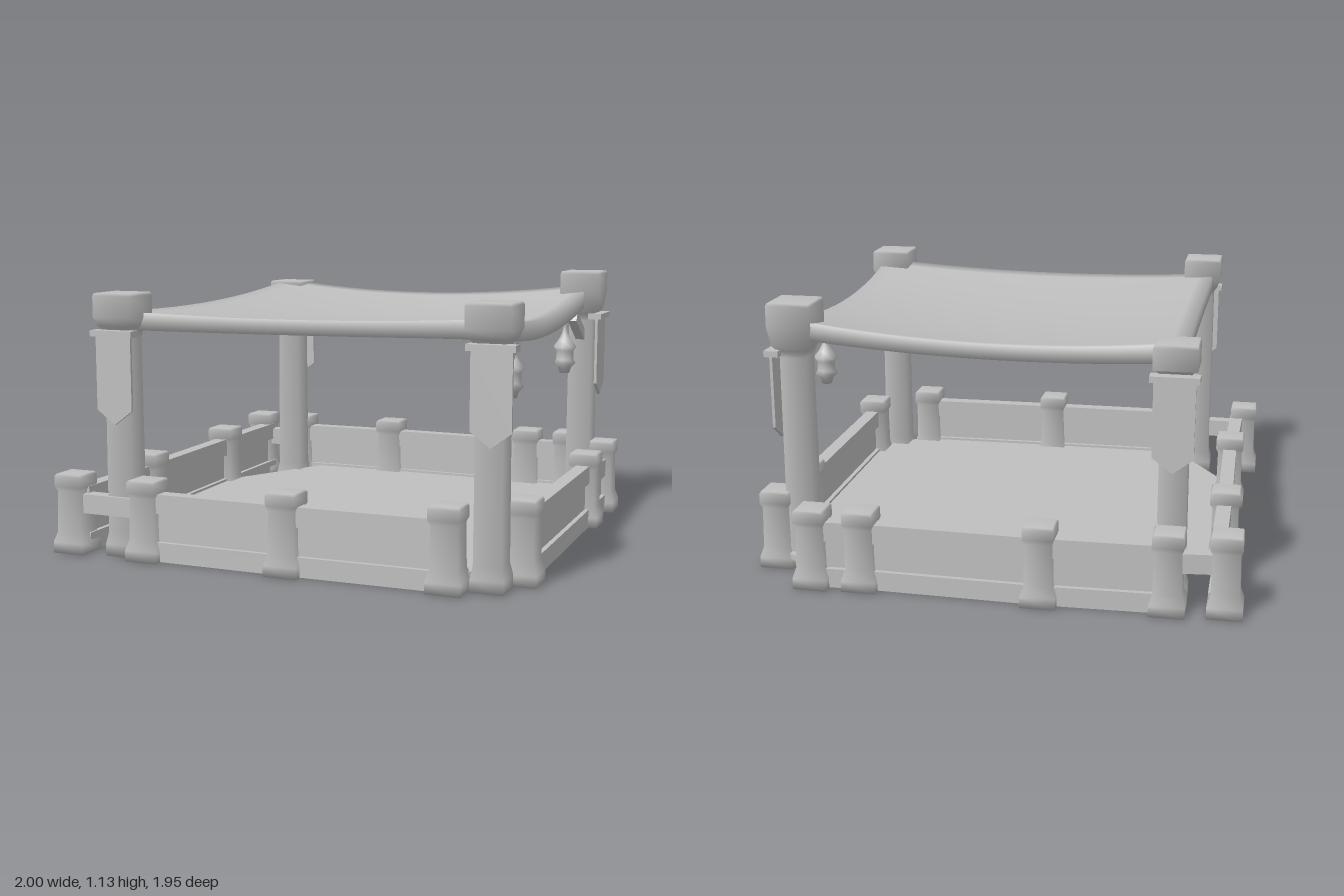
import * as THREE from 'three';

const stone = new THREE.MeshStandardMaterial({ color: 0xbfbfbf });
stone.name = 'plain grey';
const cloth = stone.clone();
cloth.name = 'plain grey cloth';
cloth.side = THREE.DoubleSide;

const V = (x, y, z) => new THREE.Vector3(x, y, z);

export function createModel() {
  const root = new THREE.Group();
  root.name = 'canopyPavilion';

  function add(geo, name, x = 0, y = 0, z = 0, mat = stone) {
    const m = new THREE.Mesh(geo, mat);
    m.name = name;
    m.position.set(x, y, z);
    root.add(m);
    return m;
  }

  // Softly shaded square tower from [halfWidth, y] pairs
  function square(profile, name, x, z) {
    const pts = profile.map(([r, y]) => new THREE.Vector2(r * Math.SQRT2, y));
    return add(new THREE.LatheGeometry(pts, 4, Math.PI / 4), name, x, 0, z);
  }

  // Straight bar between two points
  function beam(a, b, w, h, name) {
    const mid = a.clone().add(b).multiplyScalar(0.5);
    const m = add(new THREE.BoxGeometry(w, h, a.distanceTo(b)), name, mid.x, mid.y, mid.z);
    m.lookAt(b);
    return m;
  }

  // Fence posts: flared foot, shaft and heavier cap
  const sides = {
    front: [[-0.93, 0.89], [-0.58, 0.9], [0.04, 0.9], [0.7, 0.89]],
    right: [[0.93, 0.67], [0.93, -0.37], [0.93, -0.71]],
    back: [[0.72, -0.9], [0.52, -0.89], [-0.21, -0.91], [-0.71, -0.9], [-0.93, -0.88]],
    left: [[-0.93, -0.88], [-0.9, -0.38], [-0.885, 0.37], [-0.93, 0.89]],
  };
  const done = new Set();
  for (const posts of Object.values(sides)) {
    for (const p of posts) {
      if (done.has(p.join())) continue;
      done.add(p.join());
      square([[0, 0], [0.07, 0], [0.07, 0.045], [0.056, 0.09], [0.053, 0.26],
        [0.062, 0.28], [0.062, 0.322], [0.056, 0.332], [0, 0.334]], 'fencePost', ...p);
    }
  }

  // Fence rails, with planks and sills except in the open corner bays
  for (const [side, posts] of Object.entries(sides)) {
    for (let i = 0; i + 1 < posts.length; i++) {
      const [[ax, az], [bx, bz]] = [posts[i], posts[i + 1]]
        .map(([x, z]) => [side === 'left' ? Math.max(x, -0.895) : x, z]);
      const corner = (side === 'front' && i === 0) || (side === 'back' && i === 3);
      const low = corner || (side === 'right' && i === 1);
      const y = low ? 0.21 : 0.238;
      beam(V(ax, y, az), V(bx, y, bz), 0.06, 0.08, 'fenceRail');
      if (corner) continue;
      beam(V(ax, 0.14, az), V(bx, 0.14, bz), 0.025, 0.14, 'fencePlank');
      beam(V(ax, 0.041, az), V(bx, 0.041, bz), 0.065, 0.08, 'fenceSill');
    }
  }

  // Floor slab with cut corners
  const outline = [[-0.87, 0.45], [-0.6, 0.88], [0.72, 0.88], [0.92, 0.7],
    [0.92, -0.74], [0.72, -0.88], [-0.59, -0.88], [-0.87, -0.38]];
  const floorShape = new THREE.Shape(outline.map(([x, z]) => new THREE.Vector2(x, -z)));
  const floorGeo = new THREE.ExtrudeGeometry(floorShape, { depth: 0.025, bevelEnabled: false });
  floorGeo.rotateX(-Math.PI / 2);
  add(floorGeo, 'floor', 0, 0.045, 0);

  // Roof pillars with block capitals: x, z, top, capital half width
  const pillars = [[-0.705, 0.855, 1.085, 0.086], [0.845, 0.81, 1.085, 0.088],
    [0.83, -0.69, 1.13, 0.09], [-0.71, -0.785, 1.05, 0.085]];
  for (const [x, z, top, w] of pillars) {
    square([[0, 0], [0.066, 0], [0.066, 0.05], [0.056, 0.1], [0.053, 0.9], [0.06, 0.93],
      [w * 0.85, 0.95], [w, top - 0.1], [w, top - 0.015], [w * 0.94, top - 0.003], [0, top]],
    'roofPillar', x, z);
  }

  // Pointed pennants hanging from cross bars: x, z, facing angle
  const pennant = new THREE.Shape([[-0.08, 0], [-0.08, -0.3], [0, -0.36], [0.08, -0.3], [0.08, 0]]
    .map(([x, y]) => new THREE.Vector2(x, y)));
  const pennantGeo = new THREE.ExtrudeGeometry(pennant, { depth: 0.012, bevelEnabled: false });
  for (const [x, z, a] of [[-0.7, 0.93, 0], [0.86, 0.885, 0],
    [0.905, -0.69, Math.PI / 2], [-0.71, -0.865, Math.PI]]) {
    add(pennantGeo, 'pennant', x, 0.912, z).rotation.y = a;
    add(new THREE.BoxGeometry(0.19, 0.025, 0.06), 'pennantBar', x, 0.922, z).rotation.y = a;
  }

  // Sagging canopy: thick curved sheet with hollowed edges
  const N = 24;
  const lerp = THREE.MathUtils.lerp;
  const pos = [], idx = [];
  for (let layer = 0; layer < 2; layer++) {
    for (let j = 0; j <= N; j++) {
      for (let i = 0; i <= N; i++) {
        const u = i / N, v = j / N;
        const bu = 4 * u * (1 - u), bv = 4 * v * (1 - v);
        const x = lerp(-0.755 + 0.015 * bv, lerp(0.85, 0.9, v) - 0.01 * bv, u);
        const z = lerp(lerp(-0.83, -0.765, u) + 0.012 * bu, 0.85 - 0.045 * bu, v);
        const corner = lerp(lerp(1.05, 1.065, u), lerp(1.005, 1.025, u), v);
        const y = corner - lerp(0.055, 0.025, v) * bu - lerp(0.035, 0.07, u) * bv;
        const thick = 0.075 - 0.015 * bu - 0.025 * bu * bv;
        pos.push(x, y - layer * thick, z);
      }
    }
  }
  const row = N + 1, low = row * row;
  const quad = (a, b, c, d) => idx.push(a, b, c, a, c, d);
  for (let j = 0; j < N; j++) {
    for (let i = 0; i < N; i++) {
      const a = j * row + i, b = a + row, c = b + 1, d = a + 1;
      quad(a, b, c, d);
      quad(low + a, low + d, low + c, low + b);
    }
    const f = N * row + j, l = j * row, r = l + N;
    quad(f, low + f, low + f + 1, f + 1);
    quad(j + 1, low + j + 1, low + j, j);
    quad(l, low + l, low + l + row, l + row);
    quad(r + row, low + r + row, low + r, r);
  }
  const roof = new THREE.BufferGeometry();
  roof.setAttribute('position', new THREE.Float32BufferAttribute(pos, 3));
  roof.setIndex(idx);
  roof.computeVertexNormals();
  add(roof, 'canopy', 0, 0, 0, cloth);

  // Diagonal braces under the canopy
  beam(V(0.845, 0.78, 0.76), V(0.845, 0.92, 0.55), 0.04, 0.045, 'brace');
  beam(V(0.83, 0.83, -0.65), V(0.83, 0.93, -0.48), 0.04, 0.045, 'brace');
  beam(V(-0.71, 0.83, -0.74), V(-0.71, 0.95, -0.55), 0.04, 0.045, 'brace');

  // Hanging lanterns along the right edge
  const lantern = [[0, 0.69], [0.022, 0.69], [0.03, 0.715], [0.05, 0.735], [0.04, 0.75],
    [0.04, 0.79], [0.052, 0.808], [0.03, 0.835], [0.014, 0.865], [0.008, 0.9], [0.018, 0.92], [0, 0.945]]
    .map(([r, y]) => new THREE.Vector2(r, y));
  for (const z of [0.52, -0.34]) {
    add(new THREE.LatheGeometry(lantern, 8), 'lantern', 0.83, 0, z);
  }

  return root;
}
